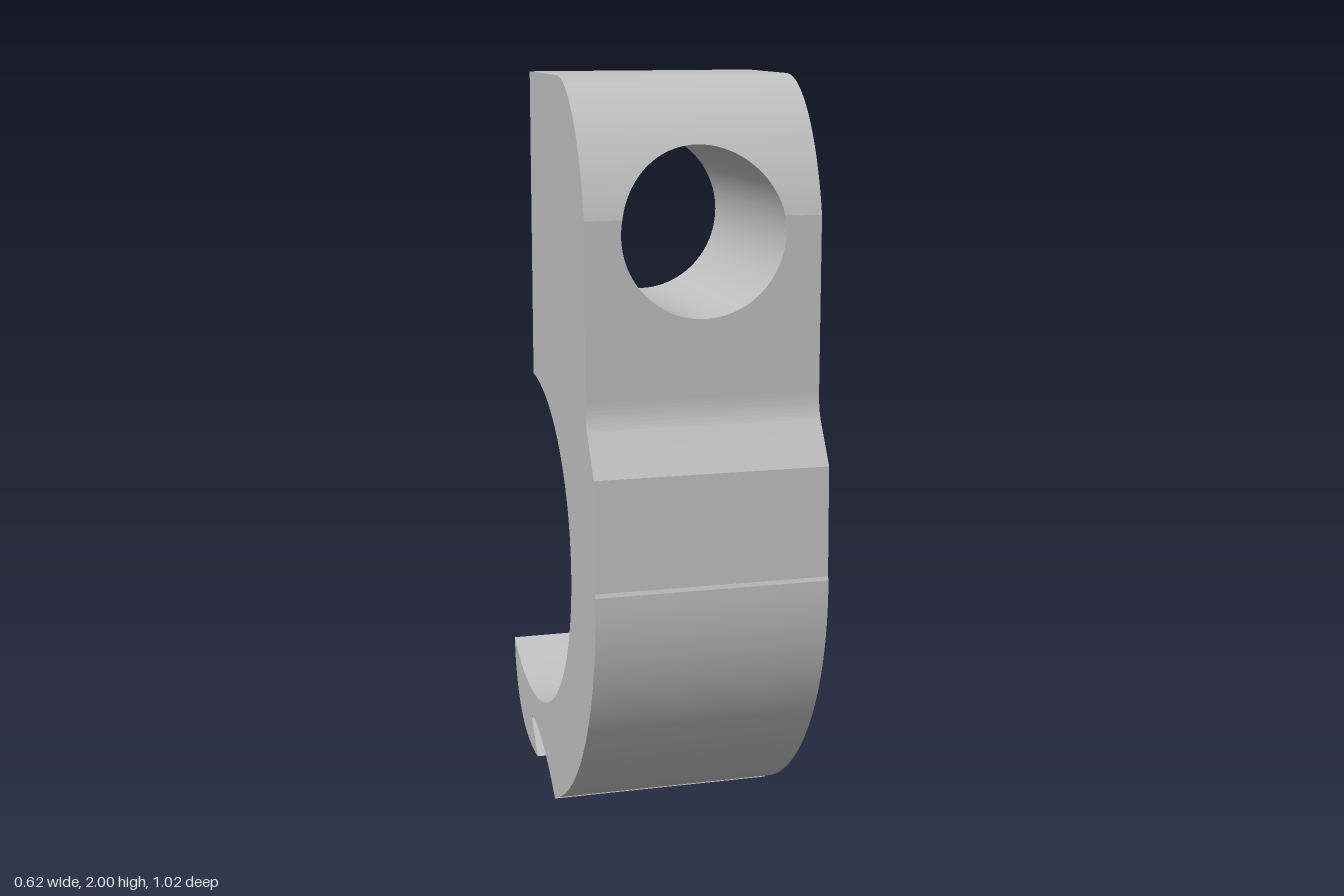
import * as THREE from 'three';
import { mergeGeometries, toCreasedNormals } from 'three/addons/utils/BufferGeometryUtils.js';

const W = 0.31;                      // half width
const BACK = -0.19, FRONT = 0.417;   // block depth range
const HOLE_Y = 1.617, HOLE_R = 0.216;
const LOW = HOLE_Y - HOLE_R, HIGH = HOLE_Y + HOLE_R;
const KINK = 1.655;                  // where the rounded top front begins

// rounded front shoulder as (z, y) points
const shoulder = new THREE.CubicBezierCurve(
  new THREE.Vector2(FRONT, KINK), new THREE.Vector2(0.38, 1.83),
  new THREE.Vector2(0.27, 2), new THREE.Vector2(0.13, 2)).getPoints(64);

// front z at a given height
function frontZ(y) {
  if (y <= KINK) return FRONT;
  const i = shoulder.findIndex(p => p.y >= y);
  const a = shoulder[i - 1], b = shoulder[i];
  return a.x + (b.x - a.x) * (y - a.y) / (b.y - a.y);
}

// extrude a (z, y) profile across the width
function extrudeAcross(shape) {
  return new THREE.ExtrudeGeometry(shape, { depth: 2 * W, bevelEnabled: false, curveSegments: 32 })
    .rotateY(-Math.PI / 2).translate(W, 0, 0);
}

// curved hook with the notch near its tip
function hookGeometry() {
  const cz = -0.23, cy = 0.7;
  const s = new THREE.Shape();
  s.moveTo(BACK, LOW);
  s.lineTo(BACK, 1.173);
  s.absarc(cz, cy, 0.476, Math.atan2(0.473, 0.04), Math.atan2(-0.388, -0.277), true);
  s.bezierCurveTo(-0.49, 0.13, -0.38, 0.04, -0.2, 0.045);
  s.lineTo(-0.275, 0.135);
  s.quadraticCurveTo(-0.28, 0.148, -0.26, 0.149);
  s.bezierCurveTo(-0.17, 0.145, -0.06, 0.08, 0.02, 0.0);
  s.absarc(cz, cy, 0.74, Math.atan2(-0.7, 0.25), 0, false);
  s.lineTo(0.51, 0.72);
  s.lineTo(0.506, 0.73);
  s.lineTo(0.5, 1.02);
  s.lineTo(0.437, 1.12);
  s.quadraticCurveTo(0.417, 1.15, FRONT, 1.2);
  s.lineTo(FRONT, LOW);
  return extrudeAcross(s);
}

// top of the block above the hole
function capGeometry() {
  const s = new THREE.Shape();
  s.moveTo(BACK, HIGH);
  s.lineTo(frontZ(HIGH), HIGH);
  shoulder.filter(p => p.y > HIGH + 0.001).forEach(p => s.lineTo(p.x, p.y));
  s.lineTo(BACK, 2);
  return extrudeAcross(s);
}

// block around the round hole, built in rows of height
function boredGeometry() {
  const rows = [KINK];
  for (let i = 0; i <= 48; i++) rows.push(HOLE_Y - HOLE_R * Math.cos(Math.PI * i / 48));
  rows.sort((a, b) => a - b);
  const half = y => Math.sqrt(Math.max(0, HOLE_R ** 2 - (y - HOLE_Y) ** 2));
  const pos = [];
  for (let i = 0; i < rows.length - 1; i++) {
    const y0 = rows[i], y1 = rows[i + 1];
    const h0 = half(y0), h1 = half(y1), f0 = frontZ(y0), f1 = frontZ(y1);
    const quads = [
      [[h0, y0, f0], [W, y0, f0], [W, y1, f1], [h1, y1, f1]],           // front
      [[W, y0, BACK], [h0, y0, BACK], [h1, y1, BACK], [W, y1, BACK]],   // back
      [[W, y0, f0], [W, y0, BACK], [W, y1, BACK], [W, y1, f1]],         // outer side
      [[h0, y0, BACK], [h0, y0, f0], [h1, y1, f1], [h1, y1, BACK]],     // hole wall
    ];
    for (const [a, b, c, d] of quads) {
      for (const p of [a, b, c, a, c, d]) pos.push(...p);
      for (const p of [a, c, b, a, d, c]) pos.push(-p[0], p[1], p[2]);  // mirrored half
    }
  }
  return new THREE.BufferGeometry().setAttribute('position', new THREE.Float32BufferAttribute(pos, 3));
}

export function createModel() {
  const grey = new THREE.MeshStandardMaterial({ color: 0xc0c0c0 });
  grey.name = 'grey';

  // one solid, so shading runs smoothly over the joins
  const parts = [hookGeometry(), boredGeometry(), capGeometry()].map(g => {
    const p = new THREE.BufferGeometry();
    p.setAttribute('position', g.getAttribute('position'));
    return p;
  });
  const hook = new THREE.Mesh(toCreasedNormals(mergeGeometries(parts), 0.2), grey);
  hook.name = 'clampHook';

  const model = new THREE.Group();
  model.name = 'clamp';
  model.add(hook);
  return model;
}
